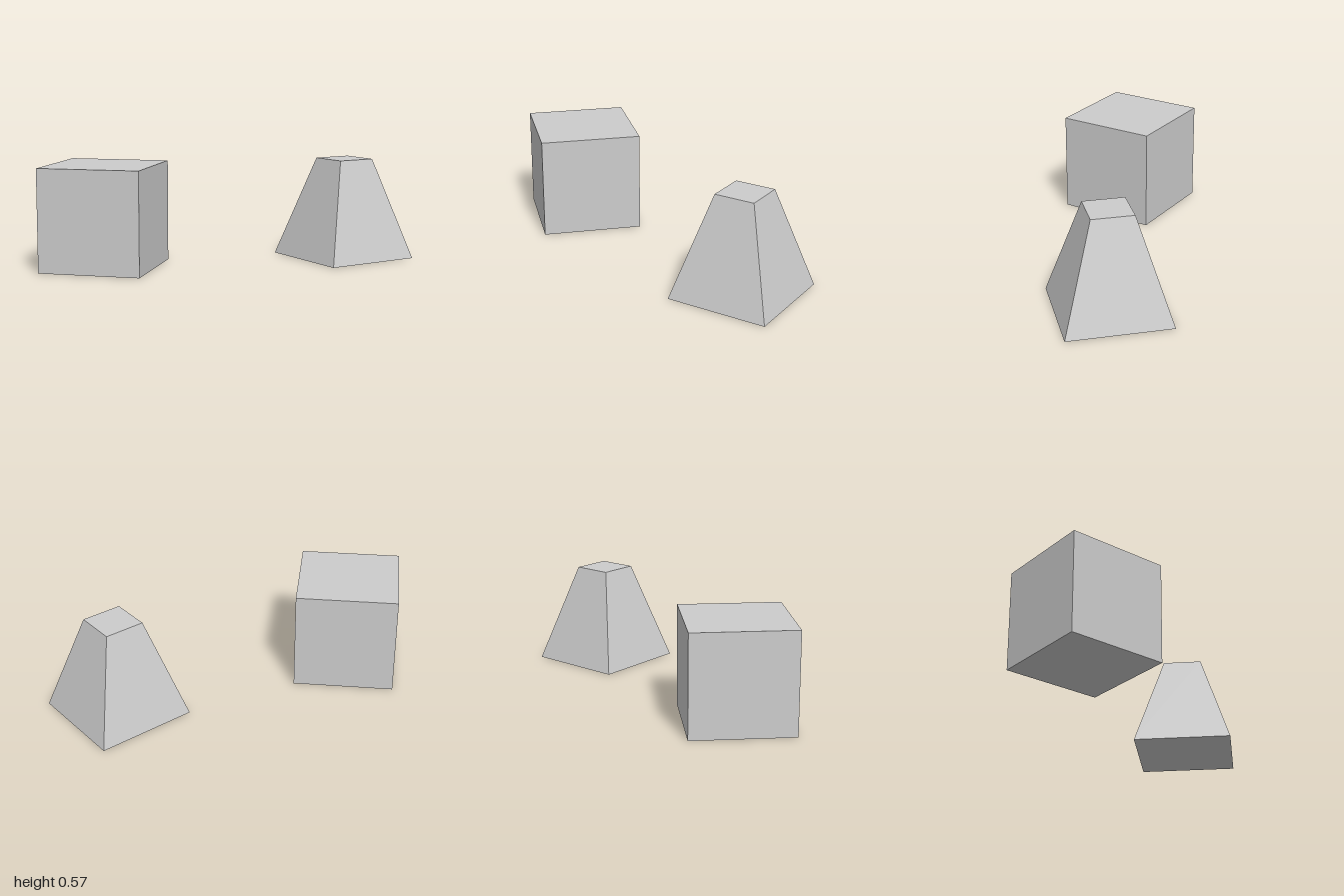
import * as THREE from 'three';

const SIZE = 0.57; // shared height and base width

export function createModel() {
  const group = new THREE.Group();
  const material = new THREE.MeshStandardMaterial({ color: 0xcccccc, flatShading: true });

  // Stands a block on the ground, turned about the vertical
  const place = (name, geometry, x, z, degrees) => {
    const mesh = new THREE.Mesh(geometry, material);
    mesh.name = name;
    mesh.position.set(x, SIZE / 2, z);
    mesh.rotation.y = THREE.MathUtils.degToRad(degrees);
    group.add(mesh);
  };

  // Plain cube
  place('cube', new THREE.BoxGeometry(SIZE, SIZE, SIZE), -0.599, -0.227, 40);

  // Truncated square pyramid, top 0.4 of the base width
  const radius = SIZE / Math.SQRT2;
  const frustum = new THREE.CylinderGeometry(radius * 0.4, radius, SIZE, 4).rotateY(Math.PI / 4);
  place('truncatedPyramid', frustum, 0.691, 0.317, -5);

  return group;
}
